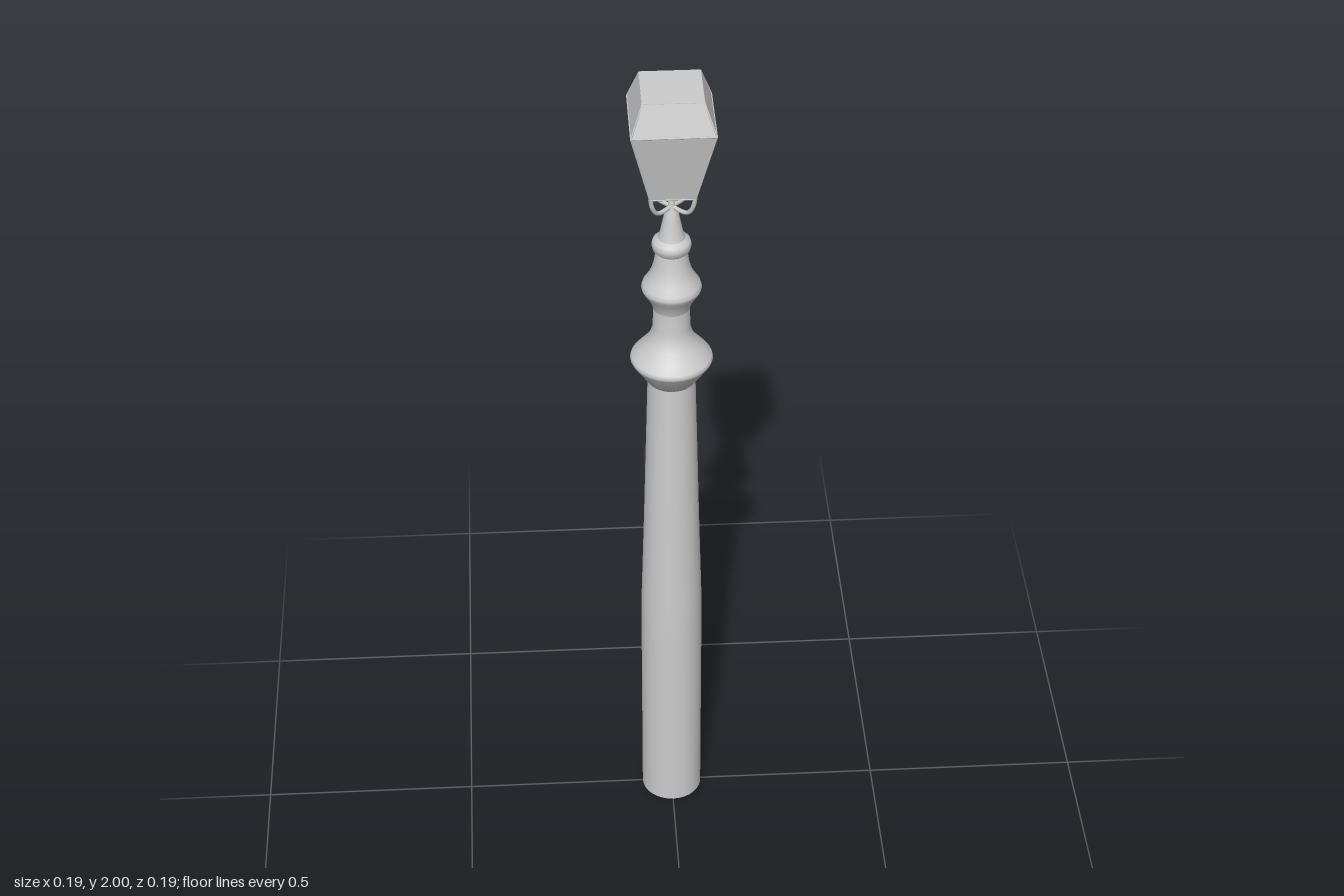
import * as THREE from 'three';

const grey = new THREE.MeshStandardMaterial({ color: 0xcccccc, side: THREE.DoubleSide });
const flatGrey = new THREE.MeshStandardMaterial({ color: 0xcccccc, flatShading: true });

export function createModel() {
  const model = new THREE.Group();
  const add = (name, geometry, material = grey) => {
    const mesh = new THREE.Mesh(geometry, material);
    mesh.name = name;
    model.add(mesh);
    return mesh;
  };
  const lathe = (name, profile) =>
    add(name, new THREE.LatheGeometry(profile.map(([r, y]) => new THREE.Vector2(r, y)), 32));

  // Post: straight foot, then a gentle taper
  lathe('shaft', [[0.072, 0], [0.072, 0.52], [0.071, 0.62], [0.064, 0.86], [0.059, 1.06], [0.054, 1.25]]);
  const foot = add('shaftFoot', new THREE.CircleGeometry(0.072, 32));
  foot.rotation.x = Math.PI / 2;

  // Turned collar and finial stem
  lathe('collarUnderside', [[0, 1.243], [0.053, 1.243], [0.09, 1.298]]);
  lathe('collar', [[0.09, 1.298], [0.093, 1.305], [0.09, 1.312], [0.075, 1.33], [0.058, 1.35],
    [0.048, 1.368], [0.042, 1.39], [0.041, 1.44]]);
  lathe('upperKnob', [[0.041, 1.44], [0.046, 1.457], [0.057, 1.475], [0.065, 1.488], [0.067, 1.495],
    [0.064, 1.505], [0.054, 1.52], [0.045, 1.538], [0.039, 1.56], [0.035, 1.588]]);
  lathe('ringKnob', [[0.035, 1.588], [0.041, 1.594], [0.044, 1.606], [0.041, 1.617], [0.03, 1.624]]);
  lathe('stem', [[0.03, 1.624], [0.025, 1.64], [0.019, 1.67], [0.014, 1.695], [0.008, 1.705], [0.007, 1.755]]);

  // Curved arms carrying the lantern at its corners
  for (const sx of [-1, 1]) for (const sz of [-1, 1]) {
    const path = new THREE.CatmullRomCurve3(
      [[0, 1.703], [0.027, 1.703], [0.036, 1.71], [0.044, 1.728], [0.048, 1.752]]
        .map(([d, y]) => new THREE.Vector3(sx * d, y, sz * d)));
    add('lanternArm', new THREE.TubeGeometry(path, 16, 0.005, 8));
  }

  // Square lantern: tapered glass body and sloping roof
  const frustum = (name, top, bottom, y0, y1) => {
    const g = new THREE.CylinderGeometry(top * Math.SQRT2, bottom * Math.SQRT2, y1 - y0, 4);
    g.rotateY(Math.PI / 4).translate(0, (y0 + y1) / 2, 0);
    add(name, g, flatGrey);
  };
  frustum('lanternBody', 0.09, 0.049, 1.748, 1.928);
  frustum('lanternRoof', 0.066, 0.09, 1.928, 2);

  // Slim frame bars along the lantern edges
  const bar = (a, b) => {
    const dir = b.clone().sub(a);
    const mesh = add('frameBar', new THREE.CylinderGeometry(0.002, 0.002, dir.length(), 6));
    mesh.position.copy(a).add(b).multiplyScalar(0.5);
    mesh.quaternion.setFromUnitVectors(new THREE.Vector3(0, 1, 0), dir.normalize());
  };
  const levels = [[0.049, 1.75], [0.09, 1.928], [0.065, 1.998]];
  const corner = ([h, y], i) => new THREE.Vector3(
    h * Math.SQRT2 * Math.cos((i + 0.5) * Math.PI / 2), y, h * Math.SQRT2 * Math.sin((i + 0.5) * Math.PI / 2));
  for (let i = 0; i < 4; i++) {
    levels.forEach((level, k) => {
      bar(corner(level, i), corner(level, i + 1));
      if (k < 2) bar(corner(level, i), corner(levels[k + 1], i));
    });
  }
  return model;
}
